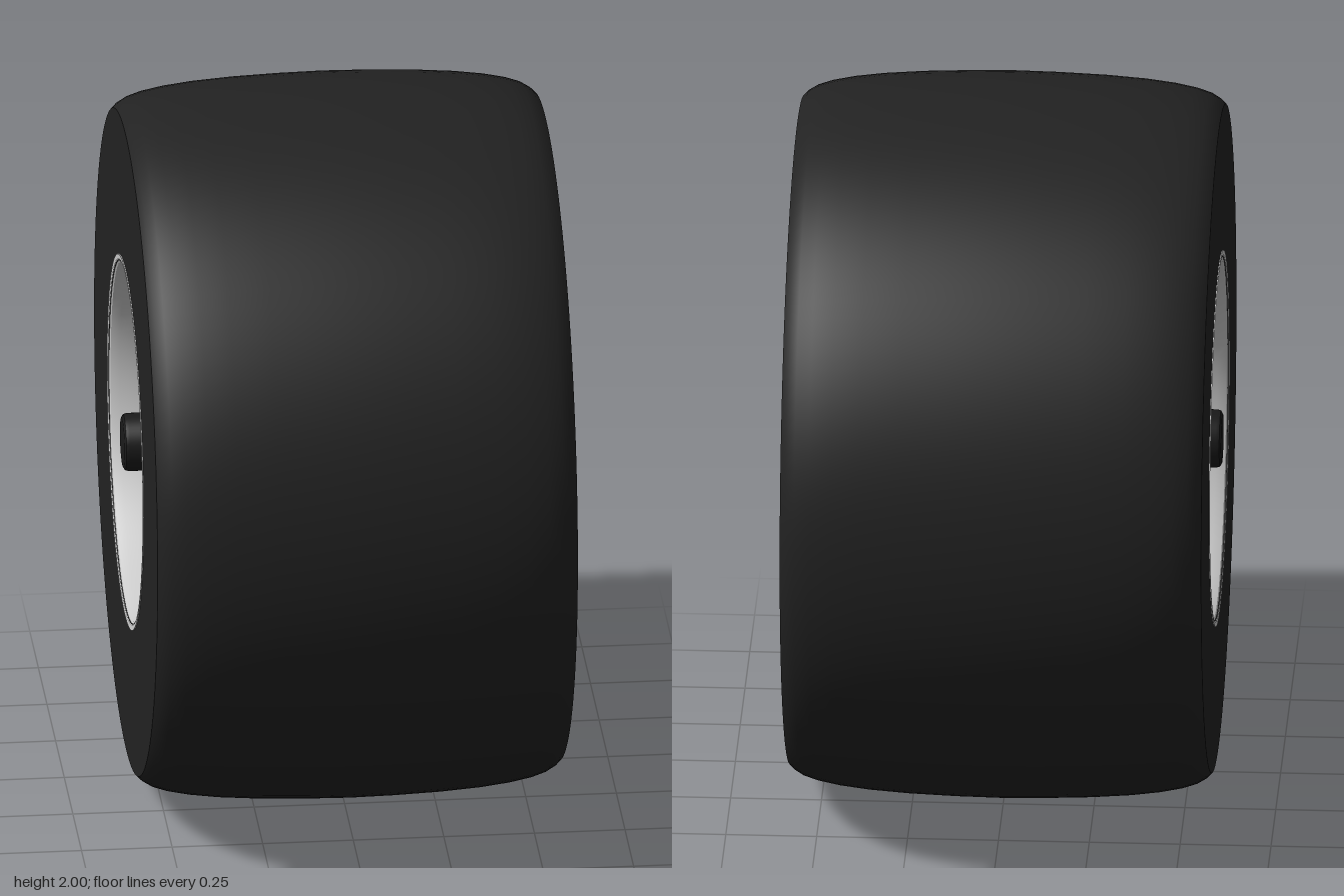
import * as THREE from 'three';
import { toCreasedNormals } from 'three/addons/utils/BufferGeometryUtils.js';

const metal = new THREE.MeshStandardMaterial({ color: 0xcccccc });
const rubber = new THREE.MeshStandardMaterial({ color: 0x222222 });
const dark = new THREE.MeshStandardMaterial({ color: 0x1a1a1a });

// Everything is turned around y (the wheel axis); profiles are [radius, axial].
function turned(name, profile, material, closed = true, segments = 96) {
  const pts = profile.map(([r, a]) => new THREE.Vector2(r, a));
  if (closed) pts.push(pts[0].clone());
  const geo = toCreasedNormals(new THREE.LatheGeometry(pts, segments), 0.5);
  const mesh = new THREE.Mesh(geo, material);
  mesh.name = name;
  return mesh;
}

// Tapered box running out along +z from the hub, leaning towards the outer face
function spokeGeometry() {
  const geo = new THREE.BoxGeometry(1, 1, 1).toNonIndexed();
  const p = geo.attributes.position;
  const { lerp } = THREE.MathUtils;
  for (let i = 0; i < p.count; i++) {
    const t = p.getZ(i) + 0.5;
    const front = p.getY(i) > 0;
    const width = lerp(0.125, 0.1, t) + (front ? 0 : 0.02);
    p.setXYZ(
      i,
      p.getX(i) * width,
      lerp(0.19, 0.37, t) + p.getY(i) * lerp(0.1, 0.07, t),
      lerp(0.15, 0.465, t)
    );
  }
  geo.computeVertexNormals();
  return geo;
}

export function createModel() {
  const model = new THREE.Group();
  model.name = 'wheel';
  const wheel = new THREE.Group();
  wheel.name = 'wheelAssembly';
  wheel.rotation.z = -Math.PI / 2; // wheel axis along x
  wheel.position.y = 1;
  model.add(wheel);

  // Tire: flat sidewalls, rounded shoulders, slightly crowned tread
  const shoulder = [
    [0.92, 0.58], [0.935, 0.565], [0.95, 0.54], [0.963, 0.5], [0.975, 0.44],
    [0.985, 0.36], [0.993, 0.25], [0.998, 0.12],
  ];
  wheel.add(turned('tire', [
    [0.5, -0.58],
    ...shoulder.map(([r, a]) => [r, -a]),
    [1, 0],
    ...shoulder.slice().reverse(),
    [0.5, 0.58],
  ], rubber, true, 128));

  // Rim: open barrel with a lip at each end and a step where the spokes land
  wheel.add(turned('rim', [
    [0.505, -0.582], [0.518, -0.583], [0.52, -0.57], [0.505, -0.55],
    [0.505, 0.55], [0.52, 0.57], [0.518, 0.583], [0.505, 0.584],
    [0.492, 0.578], [0.485, 0.56], [0.48, 0.45], [0.476, 0.425],
    [0.465, 0.405], [0.452, 0.395], [0.447, 0.375], [0.447, 0.3],
    [0.475, -0.45], [0.485, -0.55], [0.495, -0.575],
  ], metal));

  // Hub: dished face set deep inside the rim
  wheel.add(turned('hub', [
    [0.084, 0.1], [0.185, 0.1], [0.198, 0.115], [0.198, 0.235], [0.193, 0.248],
    [0.182, 0.253], [0.172, 0.248], [0.145, 0.228], [0.1, 0.21], [0.084, 0.21],
  ], metal));

  // Six spokes
  const spoke = spokeGeometry();
  for (let i = 0; i < 6; i++) {
    const mesh = new THREE.Mesh(spoke, metal);
    mesh.name = 'spoke';
    mesh.rotation.y = (i * Math.PI) / 3;
    wheel.add(mesh);
  }

  // Four lug bolts in raised sleeves
  for (let i = 0; i < 4; i++) {
    const a = (i * Math.PI) / 2;
    const lug = new THREE.Group();
    lug.name = 'lugBolt';
    lug.position.set(Math.sin(a) * 0.125, 0, Math.cos(a) * 0.125);
    lug.add(
      turned('lugSleeve', [[0.025, 0.16], [0.033, 0.16], [0.033, 0.228], [0.025, 0.228]], metal, true, 24),
      turned('lugHead', [[0, 0.16], [0.026, 0.16], [0.026, 0.224], [0, 0.224]], dark, false, 12)
    );
    wheel.add(lug);
  }

  // Axle: from the hub centre out through the inner side
  wheel.add(turned('axle', [
    [0, -0.59], [0.068, -0.59], [0.077, -0.585], [0.08, -0.575],
    [0.08, 0.215], [0.075, 0.22], [0.06, 0.22], [0.05, 0.205], [0, 0.205],
  ], dark, false, 48));

  return model;
}
